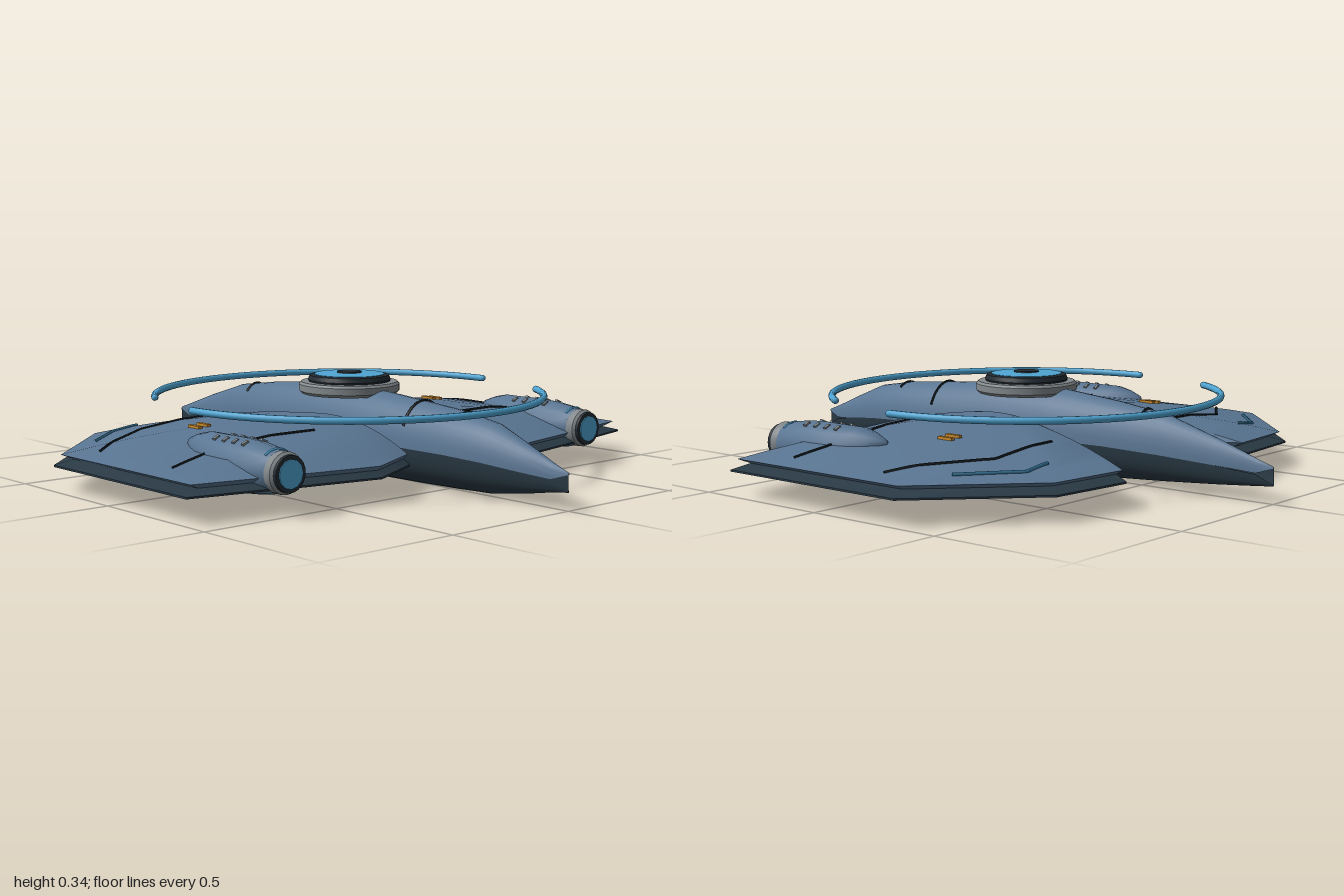
import * as THREE from 'three';
import { toCreasedNormals } from 'three/addons/utils/BufferGeometryUtils.js';

const mat = (name, color, side = THREE.FrontSide) =>
  Object.assign(new THREE.MeshStandardMaterial({ color, side }), { name });
const M = {
  hull: mat('steel blue hull', 0x5a7693, THREE.DoubleSide),
  under: mat('dark slate underside', 0x2a3a45, THREE.DoubleSide),
  blue: mat('bright blue', 0x4fa5d3),
  teal: mat('dim blue', 0x2f6c8e),
  grey: mat('light grey', 0x83898c, THREE.DoubleSide),
  dark: mat('charcoal', 0x232c33, THREE.DoubleSide),
  line: mat('panel line black', 0x0e1418),
  amber: mat('amber', 0xc98a2c),
};

const V = (x, y, z) => new THREE.Vector3(x, y, z);
const lerp = THREE.MathUtils.lerp;

function add(parent, name, geo, material, x = 0, y = 0, z = 0) {
  const m = new THREE.Mesh(geo, material);
  m.name = name;
  m.position.set(x, y, z);
  parent.add(m);
  return m;
}

// Skin a list of equally long rows of points
function skin(rows, closed, flip, crease = 0.55) {
  const n = rows[0].length, pos = [], idx = [];
  rows.forEach(r => r.forEach(p => pos.push(p.x, p.y, p.z)));
  for (let i = 0; i < rows.length - 1; i++)
    for (let j = 0; j < (closed ? n : n - 1); j++) {
      const a = i * n + j, b = i * n + (j + 1) % n, c = b + n, d = a + n;
      idx.push(...(flip ? [a, c, b, a, d, c] : [a, b, c, a, c, d]));
    }
  const g = new THREE.BufferGeometry();
  g.setAttribute('position', new THREE.Float32BufferAttribute(pos, 3));
  g.setIndex(idx);
  g.computeVertexNormals();
  return toCreasedNormals(g, crease);
}

const tube = (pts, r) =>
  new THREE.TubeGeometry(new THREE.CatmullRomCurve3(pts), pts.length * 2, r, 5);
const lathe = (pts, n = 48) =>
  toCreasedNormals(new THREE.LatheGeometry(pts.map(p => new THREE.Vector2(...p)), n), 0.6);

// Fuselage stations: z, half width, top, upper seam, lower seam, bottom
const STATIONS = [
  [-1, 0.002, 0.118, 0.112, 0.062, 0.057],
  [-0.94, 0.011, 0.138, 0.093, 0.09, 0.051],
  [-0.8, 0.032, 0.185, 0.105, 0.105, 0.039],
  [-0.6, 0.062, 0.245, 0.12, 0.12, 0.025],
  [-0.4, 0.088, 0.272, 0.13, 0.13, 0.014],
  [-0.15, 0.103, 0.296, 0.13, 0.13, 0.004],
  [0.12, 0.11, 0.296, 0.13, 0.13, 0],
  [0.38, 0.105, 0.276, 0.13, 0.13, 0.003],
  [0.55, 0.095, 0.262, 0.128, 0.128, 0.006],
  [0.7, 0.078, 0.238, 0.12, 0.12, 0.011],
  [0.83, 0.047, 0.187, 0.105, 0.105, 0.03],
  [0.94, 0.018, 0.141, 0.093, 0.09, 0.05],
  [1, 0.002, 0.118, 0.112, 0.062, 0.057],
];
function station(z) {
  const i = Math.max(1, STATIONS.findIndex(s => s[0] >= z));
  const a = STATIONS[i - 1], b = STATIONS[i], k = (z - a[0]) / (b[0] - a[0]);
  return a.map((v, j) => lerp(v, b[j], k));
}
function arc([z, w, top, seamUp, seamLow, bottom], from, to, lift = 0) {
  return Array.from({ length: 17 }, (_, i) => {
    const a = lerp(from, to, i / 16), s = Math.sin(a);
    const y = s >= 0 ? seamUp + (top - seamUp + lift) * s : seamLow + (seamLow - bottom) * s;
    return V((w + lift) * Math.cos(a), y, z);
  });
}

function fuselage() {
  const g = new THREE.Group();
  g.name = 'fuselage';
  add(g, 'upperHull', skin(STATIONS.map(s => arc(s, 0, Math.PI)), false, false), M.hull);
  add(g, 'lowerHull', skin(STATIONS.map(s => arc(s, Math.PI, 2 * Math.PI)), false, false), M.under);
  for (const [z, a] of [[-0.52, 0.9], [0.37, 0.5], [0.57, 1.05]])
    add(g, 'hullSeam', tube(arc(station(z), a, Math.PI - a, 0.001), 0.005), M.line);
  return g;
}

// Wing plan (x, z), shrunk ring by ring towards a point on the root
const PLAN = [[0.12, -0.33], [0.345, -0.69], [0.645, -0.66], [0.99, -0.33],
  [0.99, 0.4], [0.66, 0.475], [0.345, 0.54], [0.12, 0.43]];
const FX = 0.12, FZ = 0.03;
const topY = t => 0.112 + 0.096 * (1 - Math.pow(t, 2.1));
const lowY = t => 0.082 - 0.02 * (1 - t * t);
const ring = (t, y, s) => PLAN.map(([x, z]) => V(s * (FX + (x - FX) * t), y, FZ + (z - FZ) * t));

// Height of the wing's upper skin at a point
function wingY(x, z) {
  let t = 0;
  for (let i = 0; i < PLAN.length - 1; i++) {
    const [ax, az] = [PLAN[i][0] - FX, PLAN[i][1] - FZ];
    const [bx, bz] = [PLAN[i + 1][0] - FX, PLAN[i + 1][1] - FZ];
    const d = ax * bz - az * bx, px = x - FX, pz = z - FZ;
    const u = (px * bz - pz * bx) / d, v = (ax * pz - az * px) / d;
    if (u >= -1e-6 && v >= -1e-6) t = u + v;
  }
  return topY(t);
}
function wingLine(points, s, lift) {
  const out = [];
  for (let i = 0; i < points.length - 1; i++)
    for (let k = i ? 1 : 0; k <= 8; k++) {
      const x = lerp(points[i][0], points[i + 1][0], k / 8);
      const z = lerp(points[i][1], points[i + 1][1], k / 8);
      out.push(V(s * x, wingY(x, z) + lift, z));
    }
  return out;
}

function wing(s) {
  const g = new THREE.Group();
  g.name = s > 0 ? 'leftWing' : 'rightWing';
  const steps = [0.001, 0.12, 0.25, 0.37, 0.5, 0.62, 0.74, 0.86, 0.975];
  const upper = steps.map(t => ring(t, topY(t), s));
  upper.push(ring(0.93, 0.1, s));
  const lower = [ring(0.93, 0.1, s), ring(1, 0.084, s), ring(1, 0.078, s)];
  for (const t of [0.8, 0.55, 0.3, 0.001]) lower.push(ring(t, lowY(t) - 0.002, s));
  add(g, 'wingUpperShell', skin(upper, true, s < 0), M.hull);
  add(g, 'wingLowerShell', skin(lower, true, s < 0), M.under);

  // Panel lines and light strip
  for (const l of [[[0.34, -0.39], [0.61, -0.39], [0.9, -0.2]],
    [[0.34, 0.21], [0.61, 0.18]], [[0.74, 0.175], [0.9, 0.2]]])
    add(g, 'wingPanelLine', tube(wingLine(l, s, 0.001), 0.005), M.line);
  add(g, 'wingLightStrip',
    tube(wingLine([[0.53, -0.53], [0.63, -0.53], [0.8, -0.385]], s, 0.002), 0.006), M.teal);

  // Amber markers
  for (const x of [0.527, 0.562])
    add(g, 'amberMarker', new THREE.BoxGeometry(0.016, 0.009, 0.06), M.amber,
      s * x, wingY(x, -0.14) + 0.004, -0.14);
  return g;
}

// Engine pod with its point at the back and a glowing front
const POD = [[0, 0], [0.018, 0.012], [0.045, 0.06], [0.068, 0.115], [0.083, 0.19], [0.086, 0.28],
  [0.083, 0.35], [0.074, 0.42], [0.064, 0.46], [0, 0.465]];
function pod(s) {
  const g = new THREE.Group();
  g.name = s > 0 ? 'leftEngine' : 'rightEngine';
  g.position.set(s * 0.685, 0.13, 0);
  const body = lathe(POD, 16).rotateX(Math.PI / 2);
  const p = body.attributes.position;
  for (let i = 0; i < p.count; i++)
    p.setY(i, p.getY(i) + 0.04 * (1 - Math.min(p.getZ(i) / 0.2, 1)));
  add(g, 'engineBody', body, M.hull);
  add(g, 'engineCollar', lathe([[0.06, 0.45], [0.066, 0.46], [0.066, 0.487], [0.054, 0.5]], 24)
    .rotateX(Math.PI / 2), M.grey);
  add(g, 'engineRim', new THREE.CylinderGeometry(0.058, 0.058, 0.04, 24).rotateX(Math.PI / 2),
    M.dark, 0, 0, 0.487);
  add(g, 'engineGlow', new THREE.CylinderGeometry(0.046, 0.046, 0.01, 12).rotateX(Math.PI / 2),
    M.blue, 0, 0, 0.506);
  add(g, 'engineLightBand', new THREE.TorusGeometry(0.069, 0.004, 6, 16, 1.4)
    .rotateZ(Math.PI / 2 - 0.7), M.blue, 0, 0, 0.44);
  // Vents along the top
  for (const z of [0.19, 0.238, 0.286, 0.334])
    for (const side of [-1, 1]) {
      const v = add(g, 'engineVent', new THREE.BoxGeometry(0.022, 0.009, 0.012), M.grey,
        side * 0.036, 0.0765, z);
      v.rotation.z = -side * 0.44;
    }
  return g;
}

// Turret disc on top of the fuselage
function hub() {
  const g = new THREE.Group();
  g.name = 'hub';
  add(g, 'hubBase', lathe([[0.09, 0.268], [0.165, 0.27], [0.175, 0.28], [0.175, 0.303],
    [0.167, 0.311], [0.13, 0.312]]), M.grey);
  add(g, 'hubCollar', lathe([[0.14, 0.308], [0.144, 0.318], [0.138, 0.333], [0.12, 0.336]]), M.dark);
  add(g, 'hubDisc', lathe([[0.124, 0.33], [0.122, 0.337], [0.04, 0.341], [0, 0.341]]), M.blue);
  add(g, 'hubCentre', new THREE.CylinderGeometry(0.043, 0.045, 0.01, 24), M.dark, 0, 0.34, 0);
  return g;
}

// Two open halves of the floating ring
function halo() {
  const g = new THREE.Group();
  g.name = 'halo';
  const R = 0.674, span = THREE.MathUtils.degToRad(148);
  for (const start of [0, Math.PI]) {
    const geo = new THREE.TorusGeometry(R, 0.012, 10, 72, span).rotateX(-Math.PI / 2).rotateY(start);
    add(g, 'haloArc', geo, M.blue, 0, 0.267, 0);
    for (const a of [start, start + span])
      add(g, 'haloEnd', new THREE.SphereGeometry(0.012, 10, 8), M.blue,
        R * Math.cos(a), 0.267, -R * Math.sin(a));
  }
  return g;
}

export function createModel() {
  const model = new THREE.Group();
  model.name = 'spacecraft';
  model.add(fuselage(), hub(), halo());
  for (const s of [1, -1]) model.add(wing(s), pod(s));
  return model;
}
